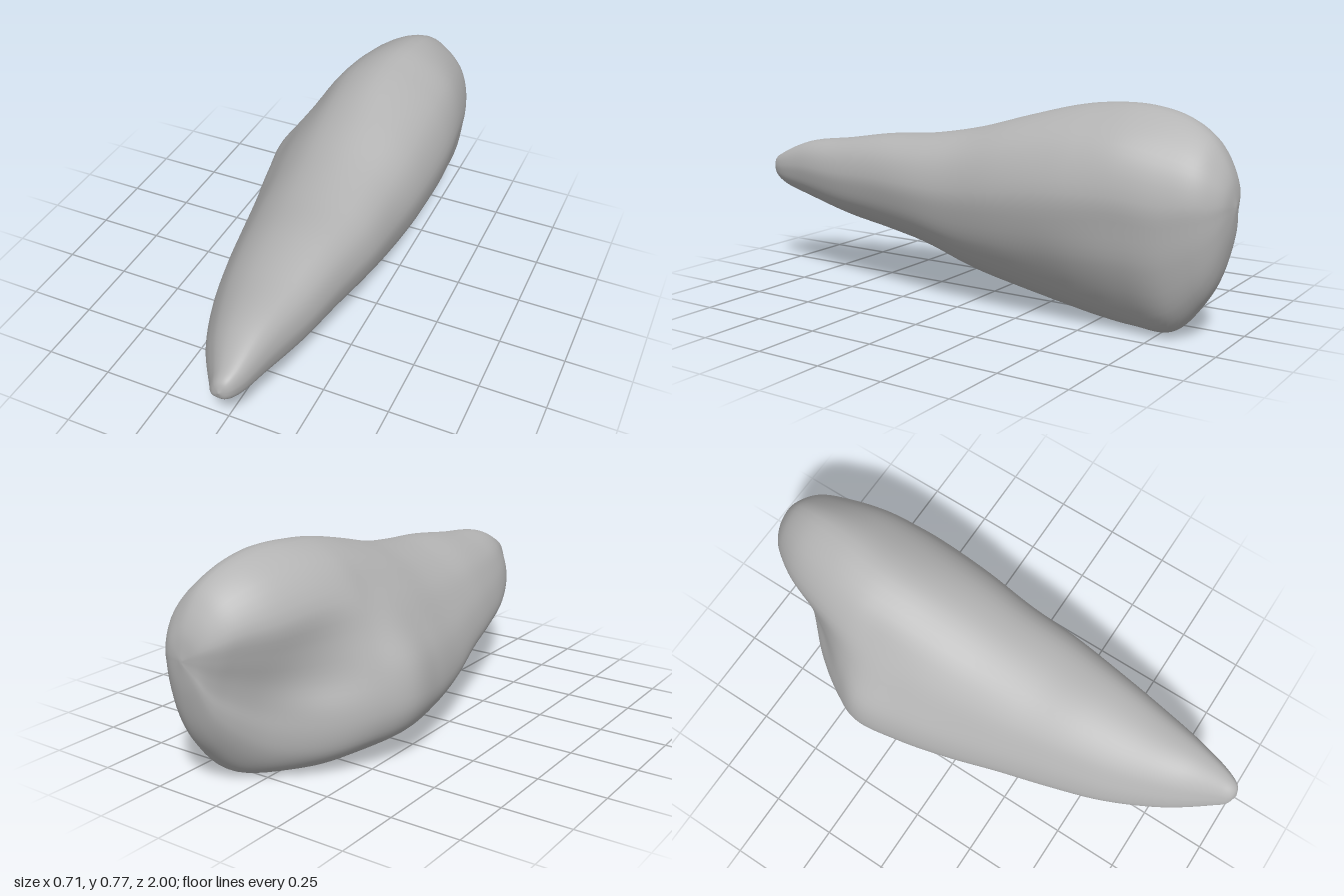
import * as THREE from 'three';
import { mergeVertices } from 'three/addons/utils/BufferGeometryUtils.js';

// Cross-section outlines, clockwise from the top, as fractions of the section's width and height
const wedge = [
  [.63, 1], [.83, .965], [.95, .83], [1, .62], [.985, .46], [.93, .28], [.81, .12], [.66, .025], [.5, 0],
  [.34, .005], [.2, .02], [.08, .06], [.015, .13], [0, .22], [.035, .41], [.1, .58], [.21, .77], [.4, .93],
];
const pear = [
  [.58, 1], [.78, .94], [.92, .83], [1, .64], [.98, .47], [.92, .31], [.78, .11], [.65, .02], [.48, 0],
  [.36, .01], [.2, .06], [.06, .15], [.01, .24], [0, .33], [.035, .48], [.14, .63], [.26, .785], [.39, .93],
];
const lobed = [
  [.52, 1], [.76, .93], [.92, .82], [1, .64], [.98, .5], [.93, .33], [.78, .12], [.64, .02], [.46, 0],
  [.3, .01], [.15, .05], [.04, .12], [0, .21], [.01, .32], [.07, .45], [.08, .6], [.09, .77], [.26, .93],
];
const hook = [
  [.48, 1], [.71, .93], [.91, .8], [1, .63], [.99, .5], [.95, .33], [.83, .12], [.68, .02], [.54, 0],
  [.4, .02], [.28, .08], [.2, .16], [.17, .25], [.17, .36], [.13, .48], [.05, .61], [0, .76], [.18, .93],
];
const outlines = [wedge, pear, lobed, hook];

// z, min x, max x, min y, max y, outline (fractions blend neighbours)
const sections = [
  [1, .12, .12, .412, .412, 0],
  [.985, .085, .15, .375, .45, 0],
  [.94, .052, .175, .345, .477, 0],
  [.8, -.04, .21, .298, .533, 0],
  [.6, -.13, .25, .245, .562, 0],
  [.4, -.19, .28, .21, .593, 0],
  [.2, -.24, .31, .17, .61, .1],
  [0, -.29, .325, .10, .645, .3],
  [-.2, -.335, .345, .055, .70, .55],
  [-.38, -.357, .353, .02, .745, .9],
  [-.5, -.305, .35, .006, .763, 1.4],
  [-.65, -.2, .333, 0, .768, 2],
  [-.8, -.112, .305, .015, .74, 2.8],
  [-.9, -.045, .27, .12, .685, 3],
  [-.95, 0, .235, .21, .625, 3],
  [-.985, .05, .19, .34, .55, 2.8],
  [-1, .12, .12, .46, .46, 0],
];

const AROUND = 72, ALONG = 112;

// Smooth closed ring for one section
function ring([z, x0, x1, y0, y1, shape]) {
  const { lerp } = THREE.MathUtils;
  const k = Math.min(Math.floor(shape), outlines.length - 2);
  const points = outlines[k].map(([u, v], i) => {
    const [u2, v2] = outlines[k + 1][i];
    return new THREE.Vector3(lerp(x0, x1, lerp(u, u2, shape - k)), lerp(y0, y1, lerp(v, v2, shape - k)), z);
  });
  if (x0 === x1) return Array.from({ length: AROUND }, () => points[0].clone());
  const curve = new THREE.CatmullRomCurve3(points, true);
  return Array.from({ length: AROUND }, (_, j) => curve.getPoint(j / AROUND));
}

// Loft the rings with a smooth curve running from the tip to the back
function loft() {
  const rings = sections.map(ring);
  const positions = [], index = [];
  for (let j = 0; j < AROUND; j++) {
    const rib = new THREE.CatmullRomCurve3(rings.map((r) => r[j]));
    for (let i = 0; i <= ALONG; i++) positions.push(...rib.getPoint(i / ALONG).toArray());
  }
  const at = (i, j) => (j % AROUND) * (ALONG + 1) + i;
  for (let j = 0; j < AROUND; j++) {
    for (let i = 0; i < ALONG; i++) {
      if (i > 0) index.push(at(i, j), at(i, j + 1), at(i + 1, j));
      if (i < ALONG - 1) index.push(at(i, j + 1), at(i + 1, j + 1), at(i + 1, j));
    }
  }
  const geometry = new THREE.BufferGeometry();
  geometry.setAttribute('position', new THREE.Float32BufferAttribute(positions, 3));
  geometry.setIndex(index);
  const merged = mergeVertices(geometry, 1e-5);
  merged.computeVertexNormals();
  return merged;
}

export function createModel() {
  const stone = new THREE.MeshStandardMaterial({ color: 0xb4b4b4 });
  stone.name = 'stone grey';

  const body = new THREE.Mesh(loft(), stone);
  body.name = 'taperedBody';

  const model = new THREE.Group();
  model.name = 'taperedStone';
  model.add(body);
  return model;
}
